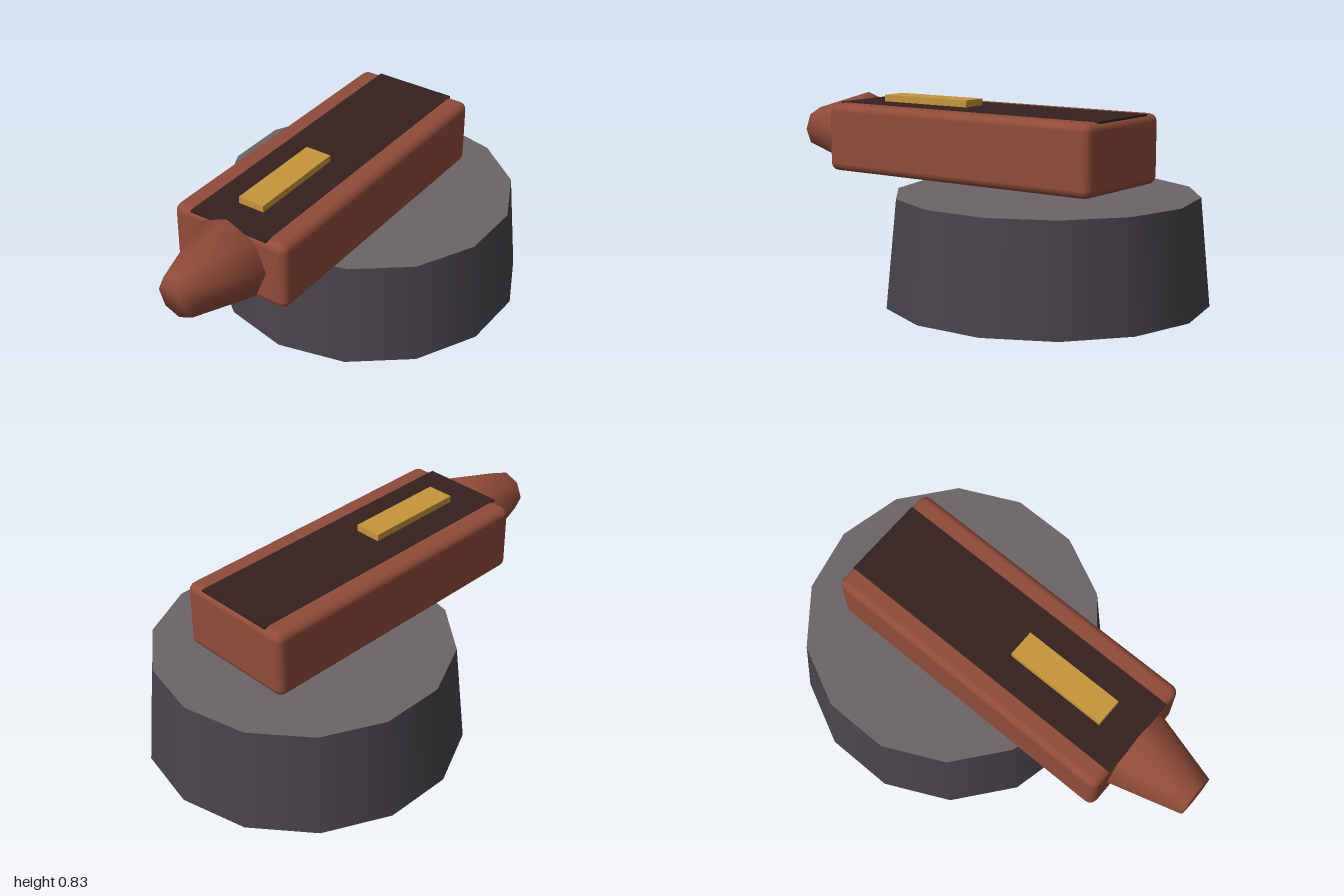
import * as THREE from 'three';
import { RoundedBoxGeometry } from 'three/addons/geometries/RoundedBoxGeometry.js';
import { mergeVertices } from 'three/addons/utils/BufferGeometryUtils.js';

const paint = (name, color) => {
  const m = new THREE.MeshStandardMaterial({ color });
  m.name = name;
  return m;
};

export function createModel() {
  const charcoal = paint('charcoal', 0x48434a);
  const grey = paint('grey', 0x6c6567);
  const rust = paint('rust', 0x914c39);
  const darkBrown = paint('dark brown', 0x35211f);
  const gold = paint('gold', 0xc6953a);

  const group = new THREE.Group();
  const add = (name, geometry, material, x, y, z) => {
    const mesh = new THREE.Mesh(geometry, material);
    mesh.name = name;
    mesh.position.set(x, y, z);
    group.add(mesh);
    return mesh;
  };

  // Tapered fourteen-sided base with a lighter top face
  add('base', new THREE.CylinderGeometry(0.647, 0.692, 0.46, 14),
    [charcoal, grey, charcoal], 0, 0.23, -0.308);

  // Long rounded body
  add('body', new RoundedBoxGeometry(0.55, 0.3, 1.38, 2, 0.035), rust, 0, 0.65, 0);

  // Dark strip along the top of the body
  add('topStrip', new THREE.BoxGeometry(0.37, 0.009, 1.37), darkBrown, 0, 0.798, 0.004);

  // Raised gold bar
  add('goldBar', new THREE.BoxGeometry(0.12, 0.03, 0.46), gold, 0, 0.817, 0.307);

  // Eight-sided tapered nose, shaded smoothly over its end
  const nose = new THREE.CylinderGeometry(0.094, 0.184, 0.31, 8);
  nose.rotateX(Math.PI / 2);
  nose.deleteAttribute('normal');
  nose.deleteAttribute('uv');
  const smoothNose = mergeVertices(nose, 1e-4);
  smoothNose.computeVertexNormals();
  add('nose', smoothNose, rust, 0, 0.648, 0.845);

  return group;
}
